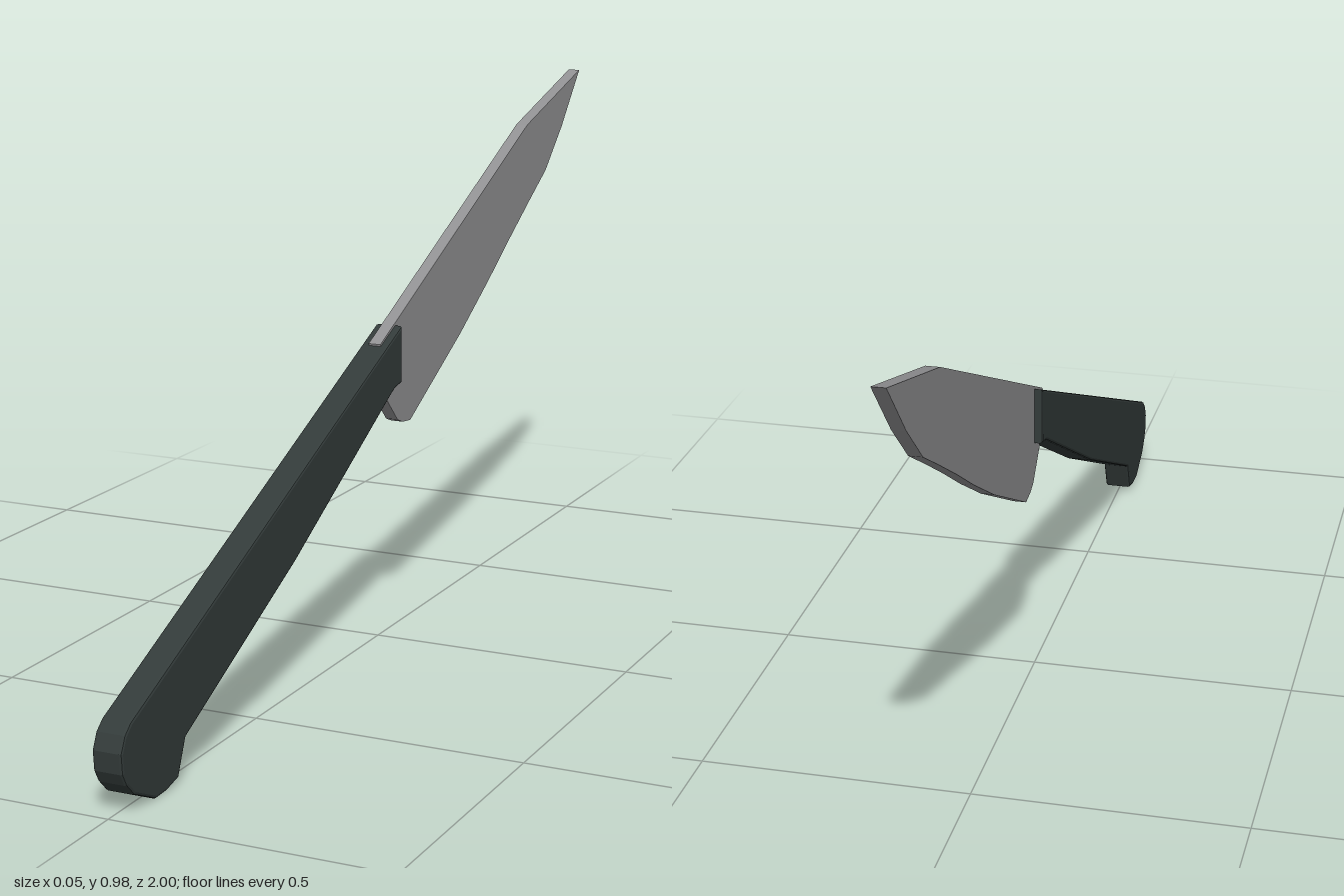
import * as THREE from 'three';

// Side outlines as [-z, y], counter-clockwise
const HANDLE = [
  [-0.94, 0.17], [-0.968, 0.158], [-0.987, 0.142], [-1, 0.115], [-0.997, 0.08], [-0.985, 0.058],
  [-0.962, 0.035], [-0.895, 0.004], [-0.86, 0.005], [-0.82, 0.014], [-0.794, 0.075],
  [-0.398, 0.262], [0, 0.475], [0.02, 0.485], [0.05, 0.49], [0.05, 0.598],
];
const BLADE = [
  [-0.015, 0.574], [0.012, 0.464], [0.062, 0.414], [0.085, 0.405], [0.12, 0.401], [0.36, 0.524],
  [0.5, 0.605], [0.607, 0.671], [0.72, 0.738], [0.81, 0.79], [0.9, 0.872], [1, 0.982], [0.703, 0.898],
];

// Extrude a side outline across x, centred, with an optional inset bevel
function slab(name, outline, width, bevel, material) {
  const shape = new THREE.Shape(outline.map(([a, b]) => new THREE.Vector2(a, b)));
  const depth = width - 2 * bevel;
  const geometry = new THREE.ExtrudeGeometry(shape, {
    depth,
    bevelEnabled: bevel > 0,
    bevelThickness: bevel,
    bevelSize: bevel,
    bevelOffset: -bevel,
    bevelSegments: 2,
  });
  geometry.translate(0, 0, -depth / 2).rotateY(Math.PI / 2);
  const mesh = new THREE.Mesh(geometry, material);
  mesh.name = name;
  return mesh;
}

export function createModel() {
  const steel = new THREE.MeshStandardMaterial({ color: 0x919193 });
  steel.name = 'steel';
  const grip = new THREE.MeshStandardMaterial({ color: 0x333b3a });
  grip.name = 'dark grip';

  const knife = new THREE.Group();
  knife.name = 'knife';
  // The blade's tang end is seated in the handle, its spine just proud of it
  knife.add(slab('blade', BLADE, 0.024, 0, steel));
  knife.add(slab('handle', HANDLE, 0.054, 0.005, grip));
  return knife;
}
